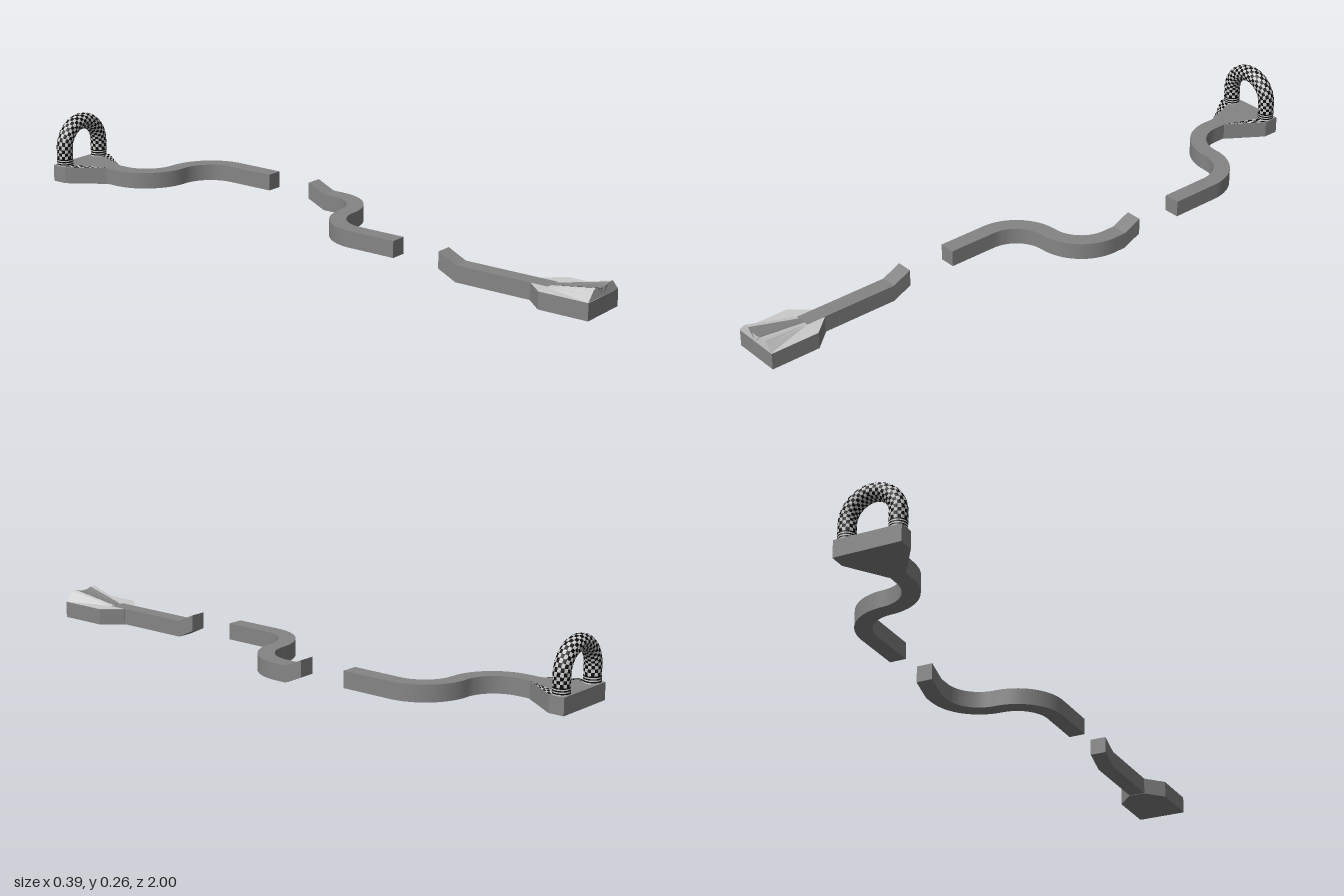
import * as THREE from 'three';
import { toCreasedNormals } from 'three/addons/utils/BufferGeometryUtils.js';

const mat = (color) => new THREE.MeshStandardMaterial({ color, roughness: 0.8, side: THREE.DoubleSide });
const road = mat(0x858585), light = mat(0xcccccc), black = mat(0x0c0c0c), white = mat(0xcccccc);
const CX = -0.095, HALF = 0.026, THICK = 0.052;

function geometryFrom(points) {
  const g = new THREE.BufferGeometry().setFromPoints(points);
  g.computeVertexNormals();
  return g;
}

// Skin a list of equal-length rings, with fan caps from each ring's first point
function loft(rings) {
  const out = [], n = rings[0].length;
  for (let i = 0; i < rings.length - 1; i++) {
    for (let j = 0; j < n; j++) {
      const k = (j + 1) % n, a = rings[i], b = rings[i + 1];
      out.push(a[j], b[j], b[k], a[j], b[k], a[k]);
    }
  }
  const last = rings[rings.length - 1];
  for (let j = 1; j < n - 1; j++) {
    out.push(rings[0][0], rings[0][j], rings[0][j + 1]);
    out.push(last[0], last[j + 1], last[j]);
  }
  return toCreasedNormals(geometryFrom(out), 0.35);
}

// Track piece: path of [x, z, y of underside], rectangular section
function track(path) {
  return loft(path.map(([x, z, y], i) => {
    const p = path[Math.max(i - 1, 0)], q = path[Math.min(i + 1, path.length - 1)];
    const d = new THREE.Vector2(q[0] - p[0], q[1] - p[1]).normalize();
    const at = (s, h) => new THREE.Vector3(x - d.y * HALF * s, y + h, z + d.x * HALF * s);
    return [at(1, 0), at(1, THICK), at(-1, THICK), at(-1, 0)];
  }));
}

// S-bend between x = CX and x = CX + 2r; dir = 1 bends to +x, -1 back to -x
function sBend(x, z, y, dir, r = 0.13, steps = 16) {
  const pts = [];
  for (let i = 0; i <= steps; i++) {
    const a = (i / steps) * Math.PI / 2;
    pts.push([x + dir * r * (1 - Math.cos(a)), z - r * Math.sin(a), y]);
  }
  for (let i = 1; i <= steps; i++) {
    const a = (i / steps) * Math.PI / 2;
    pts.push([x + dir * r * (1 + Math.sin(a)), z - r - r * (1 - Math.cos(a)), y]);
  }
  return pts;
}

// Flat plan outline of [x, z] points
const outline = (pts) => new THREE.Shape(pts.map(([x, z]) => new THREE.Vector2(x, -z)));

function prism(pts, y, h) {
  return new THREE.ExtrudeGeometry(outline(pts), { depth: h, bevelEnabled: false })
    .rotateX(-Math.PI / 2).translate(0, y, 0);
}

// Checkered surface from a function of u, v: one mesh for each colour
function checker(name, fn, nu, nv, sub = 1) {
  const group = new THREE.Group();
  group.name = name;
  const tri = [[], []];
  for (let i = 0; i < nu * sub; i++) {
    for (let j = 0; j < nv * sub; j++) {
      const p = (a, b) => fn((i + a) / (nu * sub), (j + b) / (nv * sub));
      const t = tri[(Math.floor(i / sub) + Math.floor(j / sub)) % 2];
      t.push(p(0, 0), p(1, 0), p(1, 1), p(0, 0), p(1, 1), p(0, 1));
    }
  }
  tri.forEach((t, i) => {
    const m = new THREE.Mesh(toCreasedNormals(geometryFrom(t), 0.6), i ? white : black);
    m.name = name + (i ? 'Light' : 'Dark');
    group.add(m);
  });
  return group;
}

export function createModel() {
  const model = new THREE.Group();
  const add = (name, geo, material, parent = model) => {
    const m = new THREE.Mesh(geo, material);
    m.name = name;
    parent.add(m);
    return m;
  };

  // Three track pieces, the first two ending in a small jump
  const rx = CX + 0.26;
  add('startTrack', track([[CX, 0.999, 0.001], [CX, 0.53, 0.001], [CX, 0.47, 0.03]]), road);
  add('middleTrack', track([[CX, 0.31, 0.03], ...sBend(CX, 0.15, 0.03, 1),
    [rx, -0.15, 0.03], [rx, -0.21, 0.057]]), road);
  add('finishTrack', track([[rx, -0.37, 0.055], ...sBend(rx, -0.535, 0.055, -1), [CX, -0.9, 0.055]]), road);

  // Start platform with a light top
  const start = new THREE.Group();
  start.name = 'startPlatform';
  model.add(start);
  const plan = [[-0.079, 1], [0.079, 1], [0.079, 0.84], [0.026, 0.78], [-0.026, 0.78], [-0.079, 0.84]]
    .map(([x, z]) => [x + CX + 0.002, z]);
  add('startBase', prism(plan, 0, 0.052), road, start);
  add('startTop', new THREE.ShapeGeometry(outline(plan)).rotateX(-Math.PI / 2).translate(0, 0.0525, 0), light, start);

  // Twin banks falling away from the front edge, with a dip between them
  const half = [[0.079, 0], [0.062, 0.018], [0.052, 0.029], [0.042, 0.033], [0.032, 0.031], [0.02, 0.026], [0.01, 0.0245]];
  const mirrored = (pts) => [...pts, [0, 0.024], ...pts.slice().reverse().map(([x, y]) => [-x, y])];
  const bank = (pts, lift) => loft([[1, 1, 1], [0.84, 0.42, 0]].map(([z, sx, sy]) =>
    [[0, -0.001], ...mirrored(pts)].map(([x, y]) =>
      new THREE.Vector3(CX + x * sx, 0.053 + Math.max(y, 0) * sy + (y > 0 ? lift : 0), z))));
  add('startBanks', bank(half, 0), light, start);
  add('startLane', bank(half.slice(4), 0.001), road, start);

  // Finish platform flaring out from the track
  const finish = new THREE.Group();
  finish.name = 'finishPlatform';
  model.add(finish);
  const fx = -0.0935;
  add('finishBase', prism([[-0.104, -0.95], [-0.104, -1], [0.104, -1], [0.104, -0.95], [0.026, -0.835], [-0.026, -0.835]]
    .map(([x, z]) => [x + fx, z]), 0.054, 0.053), road, finish);
  for (const s of [-1, 1]) {
    finish.add(checker('checkeredEdge', (u, v) => {
      const outer = 0.026 + 0.078 * u, inner = 0.026 + 0.045 * u;
      return new THREE.Vector3(fx + s * (outer + (inner - outer) * v), 0.1082, -0.835 - 0.115 * u);
    }, 9, 3));
  }

  // Checkered finish arch: straight legs joined by a half circle
  const R = 0.078, r = 0.026, legBottom = 0.13, legTop = 0.16, zArch = -0.973;
  const leg = legTop - legBottom, total = 2 * leg + Math.PI * R;
  const arch = (u, v) => {
    const s = u * total, b = -v * Math.PI * 2;
    const a = THREE.MathUtils.clamp((s - leg) / R, 0, Math.PI);
    const drop = Math.max(leg - s, s - total + leg, 0);
    const rad = R + r * Math.cos(b);
    return new THREE.Vector3(fx - rad * Math.cos(a), legTop - drop + rad * Math.sin(a), zArch + r * Math.sin(b));
  };
  model.add(checker('finishArch', arch, 30, 16, 2));

  // Striped feet of the arch
  for (const s of [-1, 1]) {
    for (let i = 0; i < 6; i++) {
      const h = (legBottom - 0.107) / 6;
      add('archFootBand', new THREE.CylinderGeometry(r, r, h, 32)
        .translate(fx + s * R, 0.107 + h * (i + 0.5), zArch), i % 2 ? black : white);
    }
  }
  return model;
}
